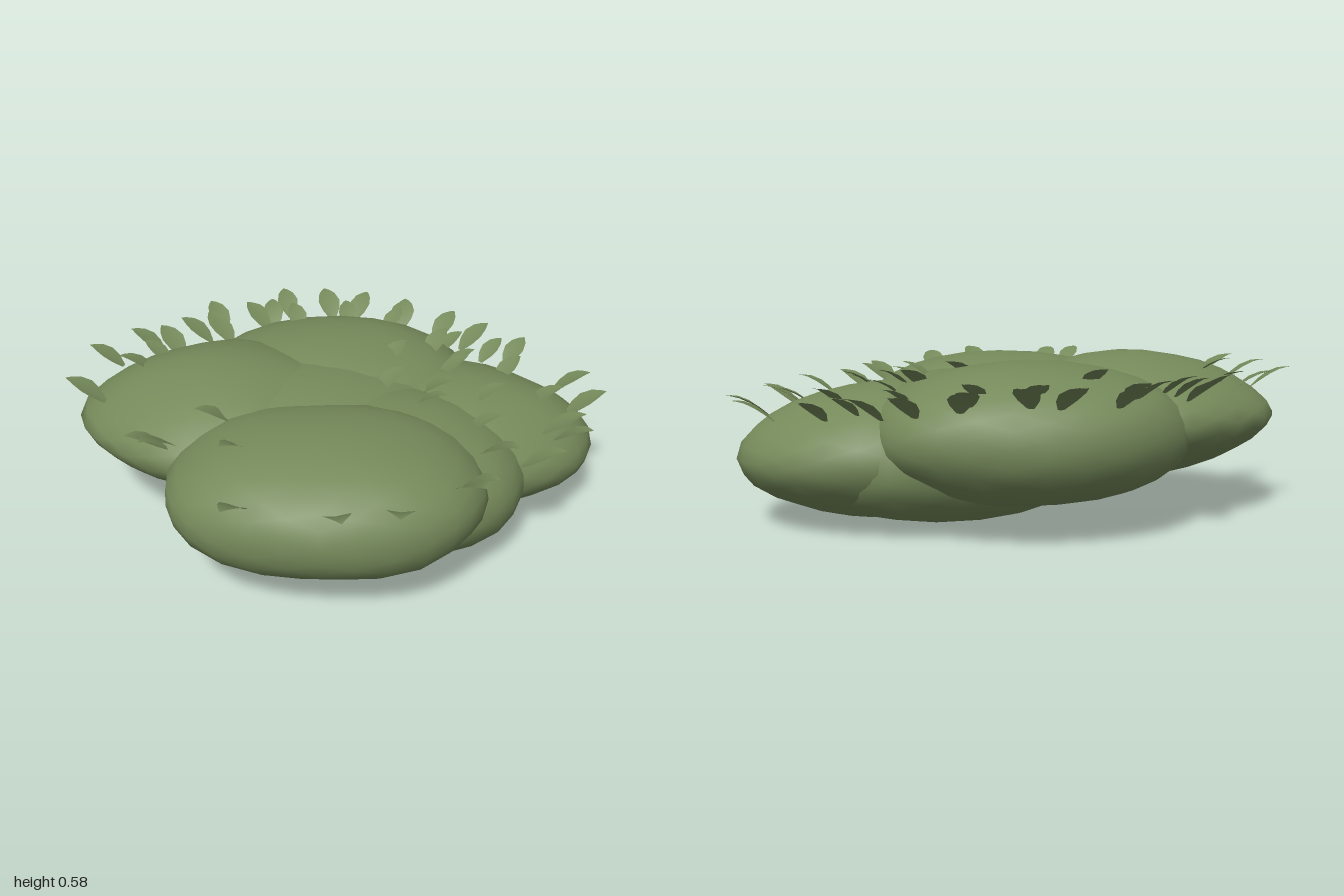
import * as THREE from 'three';
import { mergeVertices } from 'three/addons/utils/BufferGeometryUtils.js';

// centre, radii, boxiness (2 = ellipsoid) and sideways slope of each foliage clump
const CLUMPS = [
  { name: 'frontClump', c: [-0.03, 0.32, 0.36], r: [0.55, 0.235, 0.405], power: 2.2, slope: 0, seed: 1 },
  { name: 'leftwardClump', c: [-0.43, 0.36, -0.1], r: [0.56, 0.235, 0.48], power: 1.65, slope: 0, seed: 2 },
  { name: 'backClump', c: [-0.02, 0.335, -0.36], r: [0.55, 0.24, 0.43], power: 2.15, slope: 0, seed: 3 },
  { name: 'sideClump', c: [0.45, 0.26, -0.16], r: [0.53, 0.24, 0.425], power: 1.8, slope: 0.04, seed: 4 },
  { name: 'lowerClump', c: [0.21, 0.26, 0.1], r: [0.48, 0.25, 0.47], power: 2, slope: 0.04, seed: 5 },
  { name: 'lowerBackClump', c: [0.22, 0.25, -0.16], r: [0.56, 0.24, 0.46], power: 2.2, slope: 0.03, seed: 6 },
  { name: 'coreClump', c: [-0.06, 0.32, -0.08], r: [0.58, 0.225, 0.48], power: 2, slope: 0.06, seed: 7 },
];

function clumpGeometry({ c, r, power, slope, seed }) {
  let g = new THREE.IcosahedronGeometry(1, 4);
  g.deleteAttribute('uv');
  g.deleteAttribute('normal');
  g = mergeVertices(g, 1e-4);
  const p = g.attributes.position;
  const v = new THREE.Vector3();
  for (let i = 0; i < p.count; i++) {
    v.fromBufferAttribute(p, i).normalize();
    const bump = Math.sin(v.x * 5 + seed * 2.1) * Math.sin(v.z * 6 + seed) + 0.6 * Math.sin(v.y * 5 + v.x * 7 + seed);
    const norm = Math.pow(Math.abs(v.x) ** power + Math.abs(v.y) ** power + Math.abs(v.z) ** power, 1 / power);
    v.multiplyScalar((1 + 0.012 * bump) / norm);
    p.setXYZ(i, c[0] + v.x * r[0], c[1] + v.y * r[1] - slope * v.x * r[0], c[2] + v.z * r[2]);
  }
  g.computeVertexNormals();
  return g;
}

// height of the foliage at a point seen from above
function surfaceHeight(x, z) {
  let top = 0;
  for (const { c, r, power, slope } of CLUMPS) {
    const k = 1 - Math.abs((x - c[0]) / r[0]) ** power - Math.abs((z - c[2]) / r[2]) ** power;
    if (k > 0) top = Math.max(top, c[1] + r[1] * k ** (1 / power) - slope * (x - c[0]));
  }
  return top;
}

// pointed leaf growing along +z, rising and then bending level
function leafGeometry() {
  const rows = [[0, 0.012], [0.22, 0.036], [0.45, 0.045], [0.7, 0.033], [0.88, 0.015], [1, 0.001]];
  const pos = [], idx = [];
  rows.forEach(([t, w], i) => {
    const y = 0.08 * Math.sin(t * 1.5) - 0.05, z = (t - 0.5) * 0.15;
    pos.push(-w, y + w * 0.15, z, 0, y, z, w, y + w * 0.15, z);
    if (i) for (const k of [0, 1]) {
      const a = (i - 1) * 3 + k, b = a + 3;
      idx.push(a, b, a + 1, a + 1, b, b + 1);
    }
  });
  const g = new THREE.BufferGeometry();
  g.setAttribute('position', new THREE.Float32BufferAttribute(pos, 3));
  g.setIndex(idx);
  g.computeVertexNormals();
  return g;
}

// leaf centres around the rim and on the crown, as x, z pairs
const RIM = [
  [-0.26, -0.83], [-0.08, -0.83], [0.06, -0.81], [0.25, -0.78], [0.42, -0.7], [0.54, -0.62],
  [0.7, -0.52], [0.9, -0.3], [0.93, -0.13], [0.82, 0.06], [0.84, 0.14], [0.71, 0.33],
  [0.56, 0.31], [0.45, 0.57], [0.48, 0.53], [0.22, 0.77], [0.03, 0.82], [-0.29, 0.78],
  [-0.63, 0.39], [-0.59, 0.4], [-0.93, 0.02], [-0.92, -0.27], [-0.79, -0.42],
  [-0.69, -0.42], [-0.61, -0.53], [-0.53, -0.58], [-0.54, -0.68], [-0.37, -0.68], [-0.31, -0.71],
];
const CROWN = [
  [-0.2, -0.6], [0.01, -0.71], [0.2, -0.66], [0.23, -0.74], [-0.5, -0.53], [-0.71, -0.24],
  [-0.76, -0.13], [0.43, -0.51], [0.6, -0.5], [0.37, -0.4], [0.46, -0.33], [0.65, -0.31],
  [0.2, -0.26], [0.43, -0.22], [0.19, -0.07], [0.36, -0.06], [0.55, -0.04], [0.77, -0.12],
  [0.33, 0.06], [0.52, 0.13], [-0.42, 0.23], [-0.33, 0.46],
];

export function createModel() {
  const model = new THREE.Group();
  const foliage = new THREE.MeshStandardMaterial({ color: 0x75895a, side: THREE.DoubleSide });
  foliage.name = 'foliageGreen';

  // overlapping rounded clumps
  for (const clump of CLUMPS) {
    const mesh = new THREE.Mesh(clumpGeometry(clump), foliage);
    mesh.name = clump.name;
    model.add(mesh);
  }

  // leaves fanning outward
  const leaves = new THREE.Group();
  leaves.name = 'leaves';
  const geometry = leafGeometry();
  const addLeaf = ([x, z], i, size, name) => {
    const leaf = new THREE.Mesh(geometry, foliage);
    leaf.name = name;
    const level = 0.51 - 0.11 * Math.max(0, x - 0.1);
    const resting = Math.min(surfaceHeight(x, z) + 0.02, 0.545);
    leaf.position.set(x, Math.max(level, resting), z);
    leaf.rotation.y = Math.atan2(x, z) + 0.3 * Math.sin(i * 2.4);
    leaf.scale.setScalar(size);
    leaves.add(leaf);
  };
  RIM.forEach((at, i) => addLeaf(at, i, 0.97 + 0.06 * Math.sin(i * 1.7), 'rimLeaf'));
  CROWN.forEach((at, i) => addLeaf(at, i, 0.88 + 0.06 * Math.sin(i * 2.3), 'crownLeaf'));
  model.add(leaves);

  // rest on the ground
  model.position.y = -new THREE.Box3().setFromObject(model).min.y;
  return model;
}
